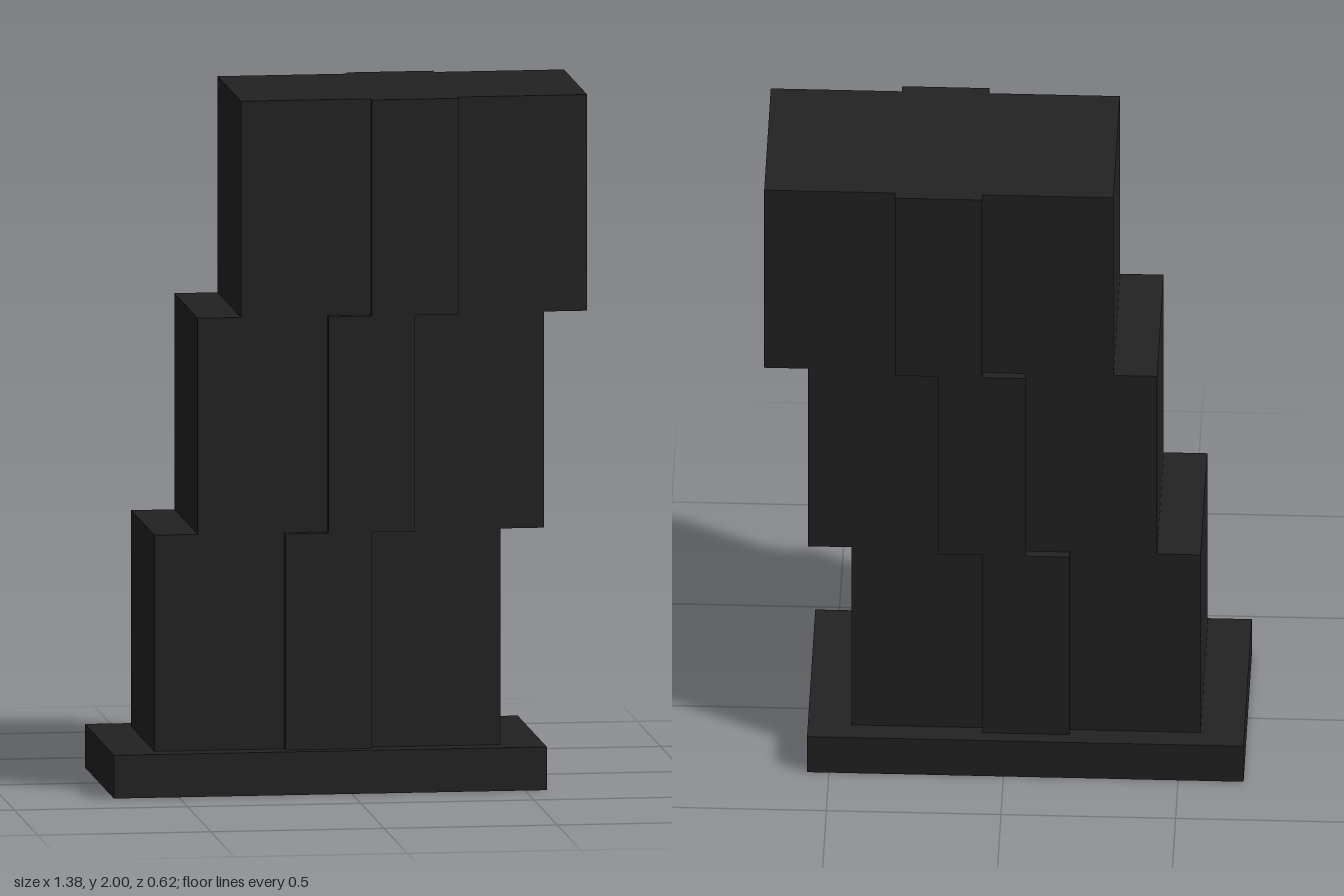
import * as THREE from 'three';

export function createModel() {
  const model = new THREE.Group();
  const charcoal = new THREE.MeshStandardMaterial({ color: 0x222222 });
  charcoal.name = 'charcoal';

  // Box standing on height y
  const addBox = (parent, name, w, h, d, x, y, z) => {
    const mesh = new THREE.Mesh(new THREE.BoxGeometry(w, h, d), charcoal);
    mesh.name = name;
    mesh.position.set(x, y + h / 2, z);
    parent.add(mesh);
  };

  // Base slab
  const baseHeight = 0.125;
  addBox(model, 'base', 1.25, baseHeight, 0.625, -0.0625, 0, 0);

  // Three blocks, each stepped sideways over the one below
  const blockHeight = 0.625, blockDepth = 0.5, panelDepth = 0.025;
  for (let i = 0; i < 3; i++) {
    const tier = new THREE.Group();
    tier.name = 'tier' + (i + 1);
    tier.position.set(-0.0625 + i * 0.125, baseHeight + i * blockHeight, 0);
    addBox(tier, 'block', 1, blockHeight, blockDepth, 0, 0, 0);

    // Raised centre panels on the front and back
    for (const side of [1, -1]) {
      addBox(tier, side > 0 ? 'frontPanel' : 'backPanel', 0.25, blockHeight, panelDepth,
        0, 0, side * (blockDepth + panelDepth) / 2);
    }
    model.add(tier);
  }
  return model;
}
